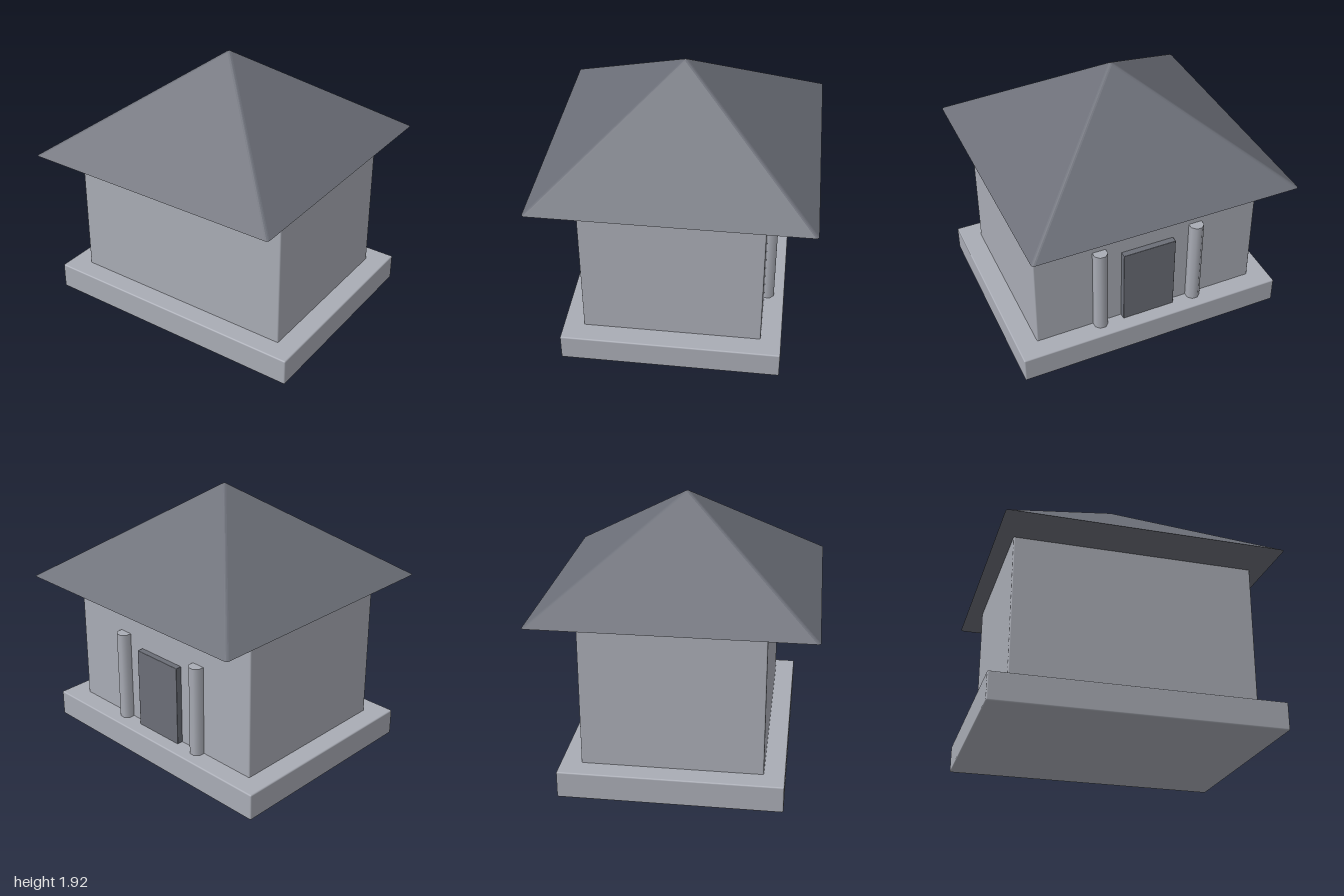
import * as THREE from 'three';
import { RoundedBoxGeometry } from 'three/addons/geometries/RoundedBoxGeometry.js';
import { ConvexGeometry } from 'three/addons/geometries/ConvexGeometry.js';

const material = (name, color) => {
  const m = new THREE.MeshStandardMaterial({ color });
  m.name = name;
  return m;
};

// Points of a square outline with rounded corners at height y
function roundedSquare(half, radius, y) {
  const points = [];
  for (const [sx, sz, start] of [[1, 1, 0], [-1, 1, 1], [-1, -1, 2], [1, -1, 3]]) {
    for (let i = 0; i <= 3; i++) {
      const a = (start + i / 3) * Math.PI / 2;
      points.push(new THREE.Vector3(
        sx * (half - radius) + Math.cos(a) * radius, y,
        sz * (half - radius) + Math.sin(a) * radius));
    }
  }
  return points;
}

export function createModel() {
  const group = new THREE.Group();
  const stone = material('pale stone', 0xa9acb5);
  const slate = material('dark slate', 0x6b6e77);

  const add = (name, geometry, mat, x, y, z) => {
    const mesh = new THREE.Mesh(geometry, mat);
    mesh.name = name;
    mesh.position.set(x, y, z);
    group.add(mesh);
    return mesh;
  };

  // Plinth and walls with slightly softened edges
  add('plinth', new RoundedBoxGeometry(2, 0.195, 1.55, 2, 0.01), stone, 0, 0.0975, 0);
  add('walls', new RoundedBoxGeometry(1.7, 1.07, 1.26, 2, 0.01), stone, 0, 0.715, 0);

  // Hipped roof with a blunted peak
  const roof = new ConvexGeometry([
    ...roundedSquare(0.965, 0.02, 1.23),
    ...roundedSquare(0.02, 0.019, 1.914),
    new THREE.Vector3(0, 1.925, 0),
  ]);
  add('roof', roof, slate, 0, 0, 0);

  // Door on the back wall
  add('door', new RoundedBoxGeometry(0.4, 0.61, 0.08, 1, 0.005), slate, 0, 0.49, -0.635);

  // Eight-sided columns flanking the door
  const column = new THREE.CylinderGeometry(0.054, 0.054, 0.68, 8).rotateY(Math.PI / 8);
  for (const side of [-1, 1]) {
    add(side > 0 ? 'leftColumn' : 'rightColumn', column, stone, side * 0.37, 0.53, -0.65);
  }
  return group;
}
